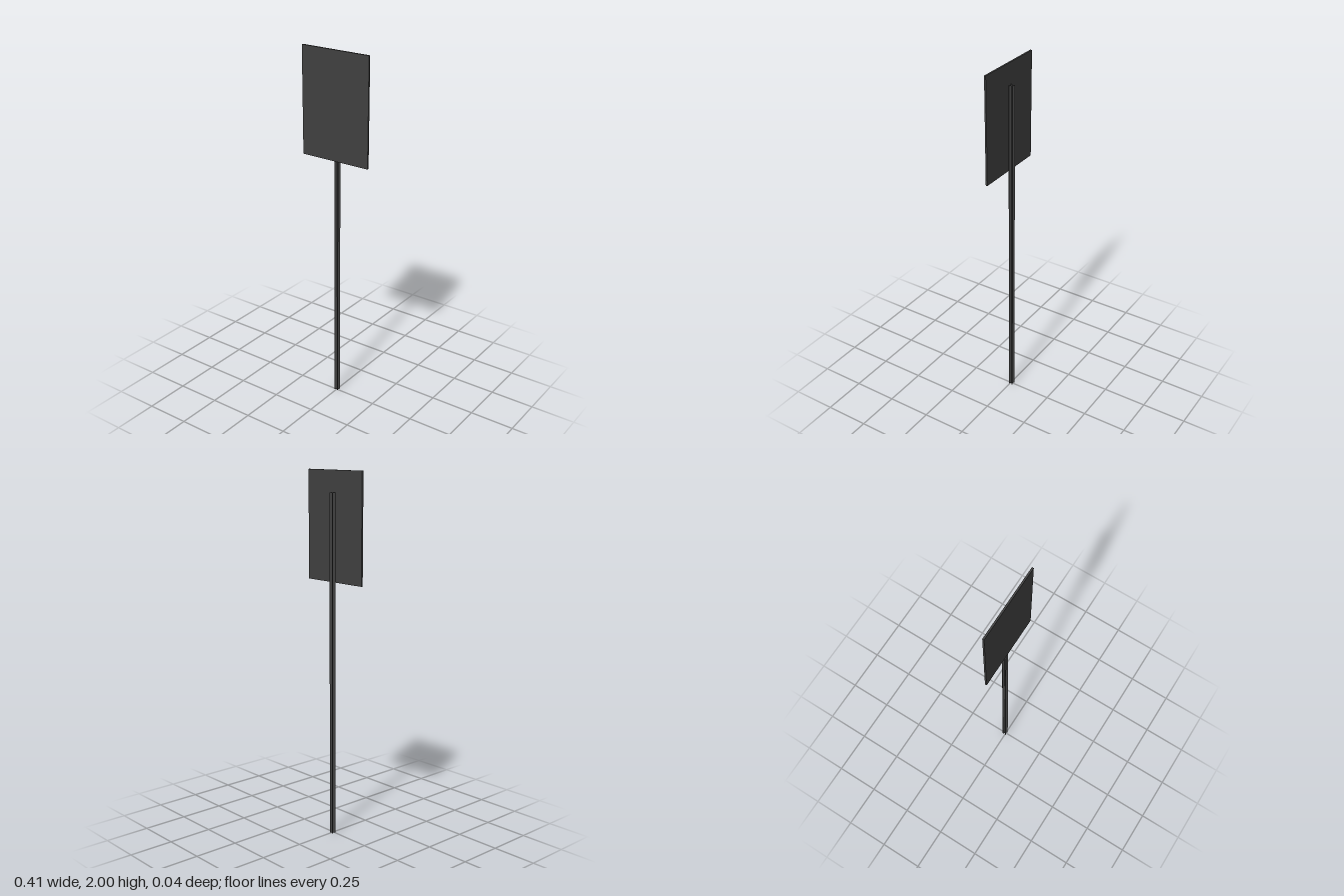
import * as THREE from 'three';

const material = new THREE.MeshStandardMaterial({ color: 0x404040 });

// Outline of a plus sign: arms reach r from the centre, half-thickness t
function crossShape(r, t) {
  const shape = new THREE.Shape();
  for (let i = 0; i < 4; i++) {
    const c = Math.round(Math.cos(i * Math.PI / 2));
    const s = Math.round(Math.sin(i * Math.PI / 2));
    for (const [x, y] of [[r, -t], [r, t], [t, t]]) {
      const px = x * c - y * s, py = x * s + y * c;
      if (i === 0 && x === r && y === -t) shape.moveTo(px, py);
      else shape.lineTo(px, py);
    }
  }
  shape.closePath();
  return shape;
}

export function createModel() {
  const group = new THREE.Group();
  const height = 2, panelWidth = 0.41, panelHeight = 0.586, panelDepth = 0.0095;
  const postHeight = 1.885, postZ = -0.005;

  // Post with an X-shaped section, standing upright
  const postGeometry = new THREE.ExtrudeGeometry(crossShape(0.0157, 0.0027), { depth: postHeight, bevelEnabled: false });
  postGeometry.rotateZ(Math.PI / 4).rotateX(-Math.PI / 2);
  const post = new THREE.Mesh(postGeometry, material);
  post.name = 'post';
  post.position.z = postZ;
  group.add(post);

  // Flat sign panel fixed to the front of the post
  const panel = new THREE.Mesh(new THREE.BoxGeometry(panelWidth, panelHeight, panelDepth), material);
  panel.name = 'signPanel';
  panel.position.set(0, height - panelHeight / 2, 0.0128);
  group.add(panel);

  return group;
}
